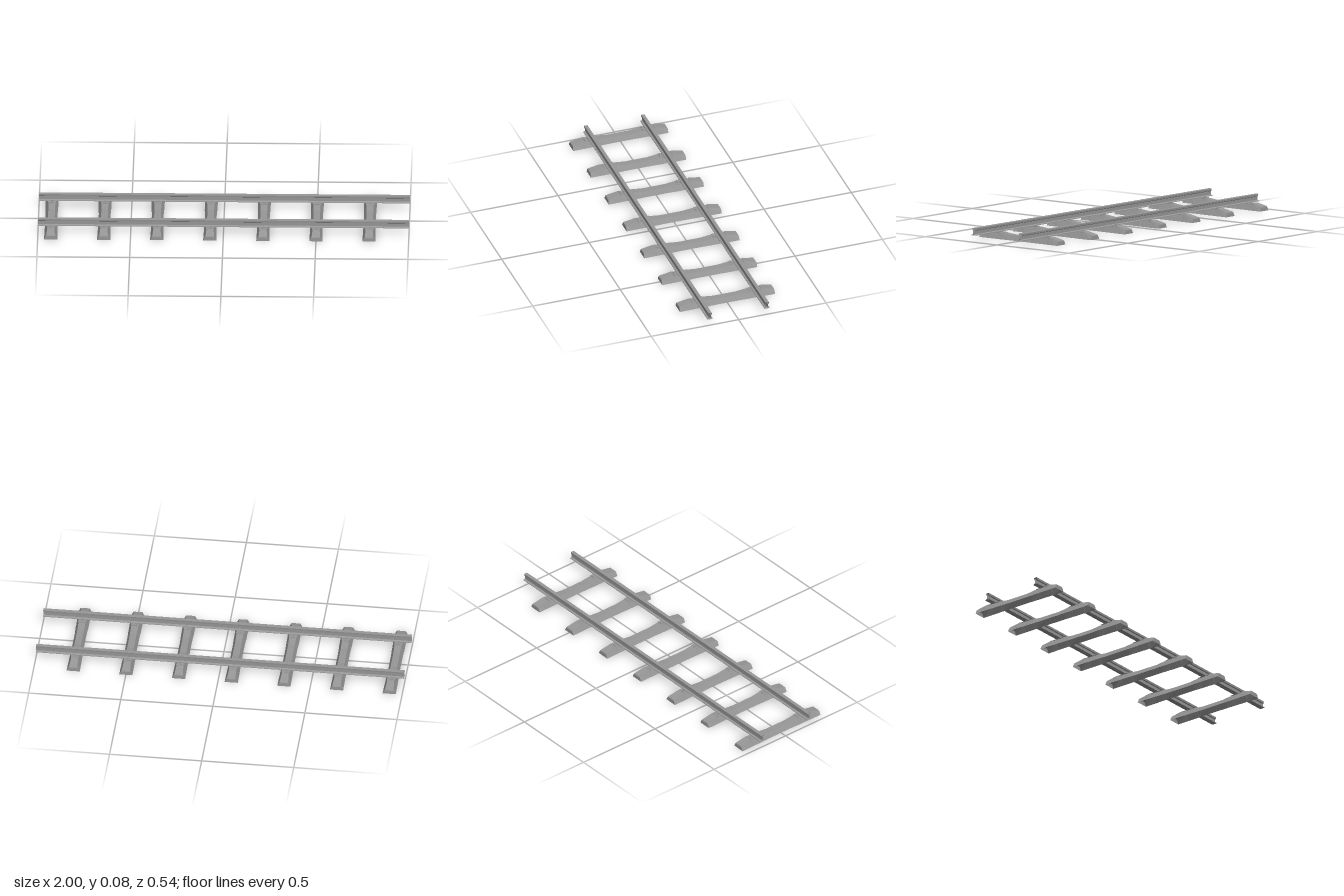
import * as THREE from 'three';

const grey = new THREE.MeshStandardMaterial({ color: 0x979797, flatShading: true, side: THREE.DoubleSide });

// Joins counter-clockwise [x, y] rings placed along z; the rings may be open
function loft(rings, closed) {
  const pos = [];
  const n = rings[0].points.length;
  const put = (r, i) => pos.push(...r.points[i % n], r.z);
  for (let k = 0; k + 1 < rings.length; k++) {
    const a = rings[k], b = rings[k + 1];
    for (let i = 0; i < (closed ? n : n - 1); i++) {
      put(a, i); put(a, i + 1); put(b, i + 1);
      put(a, i); put(b, i + 1); put(b, i);
    }
  }
  // Flat ends on open shells
  if (!closed) {
    const first = rings[0], last = rings[rings.length - 1];
    for (let i = 1; i + 1 < n; i++) {
      put(last, 0); put(last, i); put(last, i + 1);
      put(first, 0); put(first, i + 1); put(first, i);
    }
  }
  const g = new THREE.BufferGeometry();
  g.setAttribute('position', new THREE.Float32BufferAttribute(pos, 3));
  g.computeVertexNormals();
  return g;
}

// Sleeper: hollow shell open below, with a low waist and raised shoulders
function sleeperGeometry() {
  // z, top height, top half width, bottom half width
  const half = [
    [0.065, 0.028, 0.018, 0.032],
    [0.122, 0.034, 0.019, 0.034],
    [0.15, 0.033, 0.019, 0.034],
    [0.198, 0.035, 0.019, 0.035],
    [0.202, 0.039, 0.019, 0.035],
    [0.208, 0.039, 0.019, 0.035],
    [0.27, 0.025, 0.023, 0.036],
    [0.272, 0.02, 0.026, 0.036],
  ];
  const mirrored = half.slice().reverse().map(([z, ...r]) => [-z, ...r]);
  return loft([...mirrored, ...half].map(([z, y, t, b]) => ({
    z,
    points: [[b, 0], [t, y], [-t, y], [-b, 0]],
  })), false);
}

// Rail: flat-bottomed profile swept along x, open at the ends
function railGeometry() {
  const side = [
    [0.0145, 0.037], [0.0145, 0.04], [0.004, 0.044], [0.004, 0.062],
    [0.009, 0.065], [0.01, 0.075], [0.009, 0.077],
  ];
  const points = [...side, ...side.slice().reverse().map(([x, y]) => [-x, y])];
  return loft([{ z: -1, points }, { z: 1, points }], true).rotateY(Math.PI / 2);
}

export function createModel() {
  const model = new THREE.Group();
  const add = (parent, name, geometry, x, y, z) => {
    const mesh = new THREE.Mesh(geometry, grey);
    mesh.name = name;
    mesh.position.set(x, y, z);
    parent.add(mesh);
  };

  const gauge = 0.163;
  const rail = railGeometry();
  add(model, 'frontRail', rail, 0, 0, gauge);
  add(model, 'backRail', rail, 0, 0, -gauge);

  const sleeper = sleeperGeometry();
  const plate = new THREE.BoxGeometry(0.044, 0.0015, 0.07);
  const clip = new THREE.BoxGeometry(0.018, 0.002, 0.014);
  const bolt = new THREE.CylinderGeometry(0.002, 0.002, 0.009, 6);

  for (let i = 0; i < 7; i++) {
    const tie = new THREE.Group();
    tie.name = 'sleeper' + (i + 1);
    tie.position.x = -0.93 + i * 0.286;
    model.add(tie);
    add(tie, 'sleeperBeam', sleeper, 0, 0, 0);
    for (const s of [-1, 1]) {
      add(tie, 'railPlate', plate, 0, 0.035, s * gauge);
      for (const e of [-1, 1]) {
        add(tie, 'railClip', clip, 0, 0.0365, s * (gauge + e * 0.024));
        add(tie, 'clipBolt', bolt, 0, 0.039 + e * 0.0005, s * (gauge + e * 0.016));
      }
    }
  }
  return model;
}
